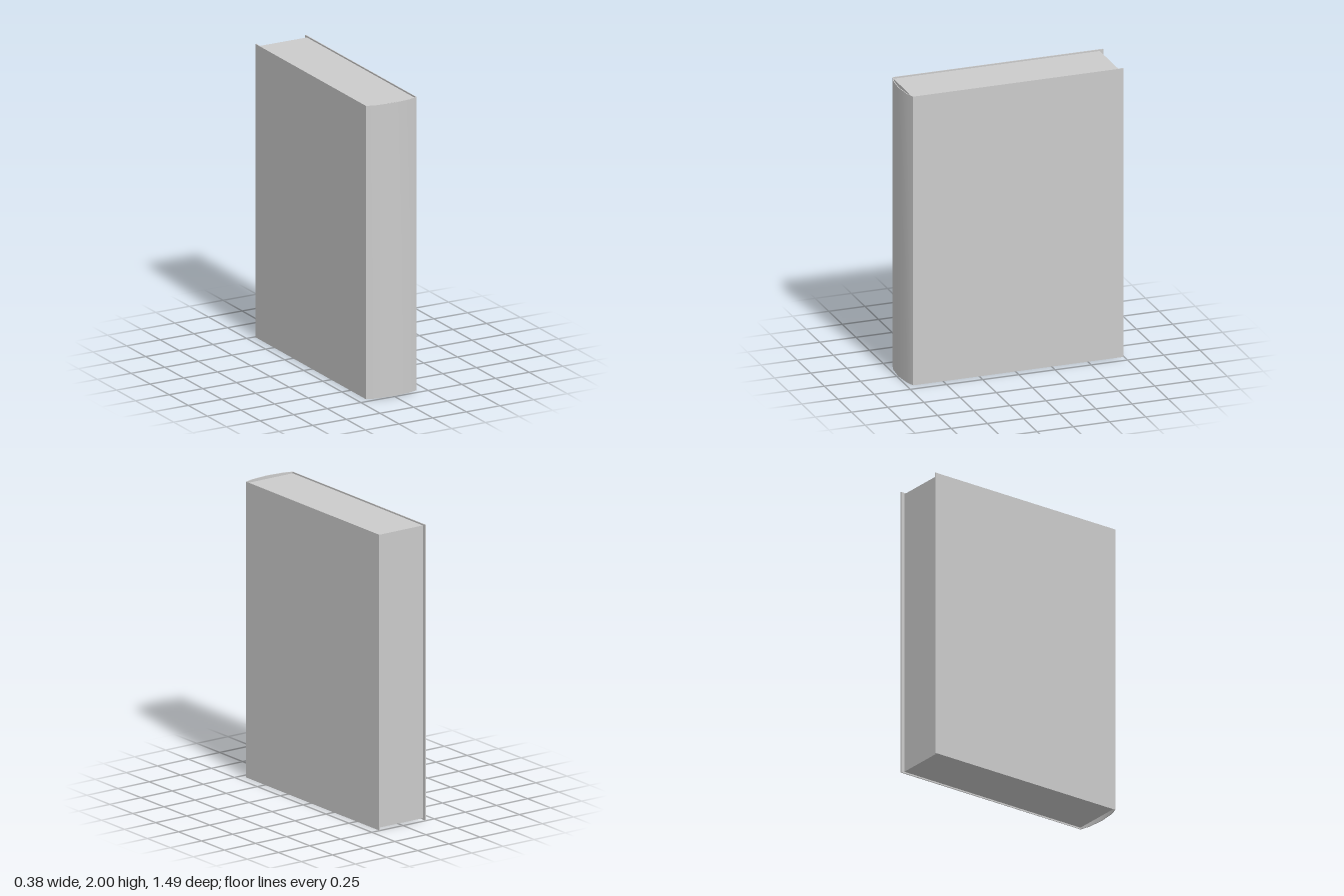
import * as THREE from 'three';
import { toCreasedNormals } from 'three/addons/utils/BufferGeometryUtils.js';

const HEIGHT = 2;
const INSET = 0.01; // pages sit slightly inside the cover at top and bottom

export function createModel() {
  const book = new THREE.Group();
  book.name = 'book';
  const material = new THREE.MeshStandardMaterial({ color: 0xcccccc, side: THREE.DoubleSide });

  // Cover outline seen from above as [x, z]: one half, then mirrored
  const mirror = (half) => [...half, ...half.slice(0, -1).reverse().map(([x, z]) => [-x, z])];
  const outer = mirror([[0.188, -0.745], [0.188, 0.708], [0.125, 0.728], [0, 0.74]]);
  const inner = mirror([[0.181, -0.745], [0.184, 0.704], [0.124, 0.723], [0, 0.735]]);
  const outline = [...outer, ...inner.reverse()].map(([x, z]) => new THREE.Vector2(x, z));

  // Boards and rounded spine as one thin folded sheet, hollow behind the spine
  const coverGeometry = new THREE.ExtrudeGeometry(new THREE.Shape(outline), { depth: HEIGHT, bevelEnabled: false });
  coverGeometry.rotateX(Math.PI / 2).translate(0, HEIGHT, 0);
  const cover = new THREE.Mesh(toCreasedNormals(coverGeometry, 0.6), material);
  cover.name = 'cover';
  book.add(cover);

  // Page block
  const pages = new THREE.Mesh(new THREE.BoxGeometry(0.366, HEIGHT - 2 * INSET, 1.424), material);
  pages.name = 'pages';
  pages.position.set(0, HEIGHT / 2, -0.008);
  book.add(pages);

  return book;
}
